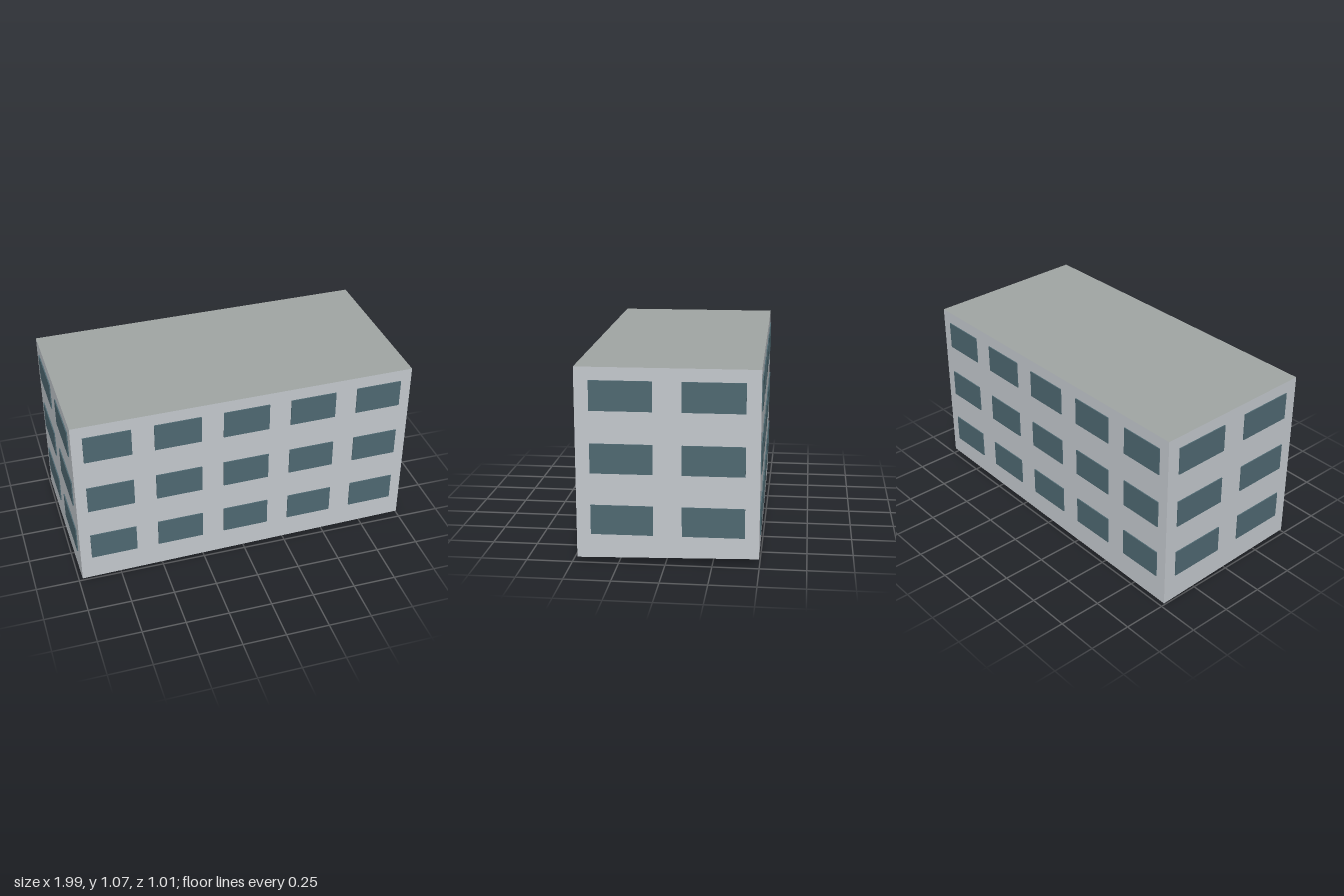
import * as THREE from 'three';

const LENGTH = 1.97, DEPTH = 0.972, TOP = 1.065;
const FLOORS = [0.24, 0.576, 0.914];
const PROUD = 0.006, THICK = 0.009;

const wallMat = new THREE.MeshStandardMaterial({ name: 'wall', color: 0xc4c9ce });
const roofMat = new THREE.MeshStandardMaterial({ name: 'roof', color: 0xa0a5a3 });
const glassMat = new THREE.MeshStandardMaterial({ name: 'glass', color: 0x4f6972 });

// Box block whose four foot corners follow uneven ground
function makeBlock() {
  const box = new THREE.BoxGeometry(LENGTH, TOP, DEPTH).translate(0, TOP / 2, 0);
  const pos = box.attributes.position;
  for (let i = 0; i < pos.count; i++) {
    if (pos.getY(i) > 0.01) continue;
    const left = pos.getX(i) > 0, front = pos.getZ(i) > 0;
    pos.setY(i, left ? (front ? 0.025 : 0.045) : (front ? 0.012 : 0));
  }
  const geometry = box.toNonIndexed();
  geometry.computeVertexNormals();
  const mesh = new THREE.Mesh(geometry, [wallMat, wallMat, roofMat, wallMat, wallMat, wallMat]);
  mesh.name = 'buildingBlock';
  return mesh;
}

// Rows of window plates on one wall, turned to face outwards
function makeWindows(name, count, wallWidth, wallDistance, width, turn) {
  const wall = new THREE.Group();
  wall.name = name;
  const geometry = new THREE.BoxGeometry(width, 0.162, THICK);
  for (const y of FLOORS) {
    for (let i = 0; i < count; i++) {
      const pane = new THREE.Mesh(geometry, glassMat);
      pane.name = 'window';
      pane.position.set(((i + 0.5) / count - 0.5) * wallWidth, y, wallDistance + PROUD - THICK / 2);
      wall.add(pane);
    }
  }
  wall.rotation.y = turn;
  return wall;
}

export function createModel() {
  const building = new THREE.Group();
  building.name = 'building';
  building.add(
    makeBlock(),
    makeWindows('frontWindows', 5, LENGTH, DEPTH / 2, 0.267, 0),
    makeWindows('backWindows', 5, LENGTH, DEPTH / 2, 0.267, Math.PI),
    makeWindows('leftWindows', 2, DEPTH, LENGTH / 2, 0.333, Math.PI / 2),
    makeWindows('rightWindows', 2, DEPTH, LENGTH / 2, 0.333, -Math.PI / 2),
  );
  // The block stands slightly askew
  building.rotation.y = 0.0125;
  const model = new THREE.Group();
  model.name = 'apartmentBlock';
  model.add(building);
  return model;
}
